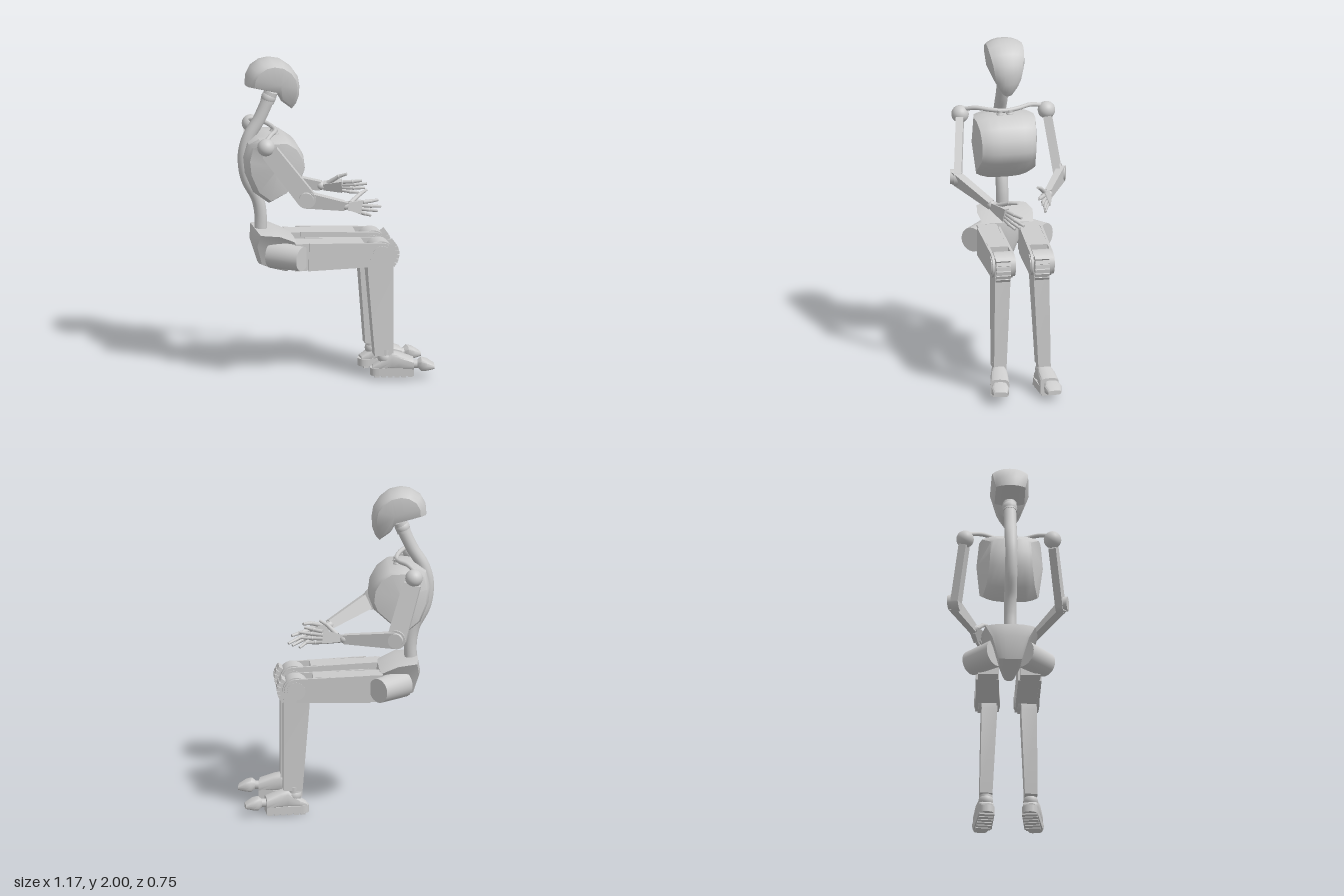
import * as THREE from 'three';
import { toCreasedNormals } from 'three/addons/utils/BufferGeometryUtils.js';

const material = new THREE.MeshStandardMaterial({ color: 0xcccccc });
const V = (x, y, z) => new THREE.Vector3(x, y, z);

function add(parent, geometry, name) {
  const mesh = new THREE.Mesh(geometry, material);
  mesh.name = name;
  parent.add(mesh);
  return mesh;
}

// Closed skin over rings of points; end caps fan to a centre (optionally pushed out in z)
function loft(rings, crease = 0.6, domeZ = 0) {
  const tris = [], n = rings[0].length;
  for (let i = 0; i + 1 < rings.length; i++) {
    for (let j = 0; j < n; j++) {
      const k = (j + 1) % n, a = rings[i], b = rings[i + 1];
      tris.push([a[j], b[j], b[k]], [a[j], b[k], a[k]]);
    }
  }
  [rings[0], rings[rings.length - 1]].forEach((ring, end) => {
    const c = ring.reduce((s, p) => s.add(p), V(0, 0, 0)).divideScalar(n);
    if (domeZ) c.z = end ? domeZ : -domeZ;
    for (let j = 0; j < n; j++) {
      const p = ring[j], q = ring[(j + 1) % n];
      tris.push(end ? [c, q, p] : [c, p, q]);
    }
  });
  // Turn the faces outwards
  const volume = tris.reduce((s, [a, b, c]) => s + a.dot(b.clone().cross(c)), 0);
  if (volume < 0) tris.forEach(t => t.reverse());
  const g = new THREE.BufferGeometry().setFromPoints(tris.flat());
  return toCreasedNormals(g, crease);
}

// Side profile [x, y, halfWidth] spread over z, shrinking towards its sides
function pillow(profile, shrink, power, domeZ) {
  const cx = profile.reduce((s, p) => s + p[0], 0) / profile.length;
  const cy = profile.reduce((s, p) => s + p[1], 0) / profile.length;
  const rings = [-1, -0.85, -0.6, -0.3, 0, 0.3, 0.6, 0.85, 1].map(t => {
    const s = 1 - shrink * Math.abs(t) ** power;
    return profile.map(([x, y, w]) => V(cx + (x - cx) * s, cy + (y - cy) * s, w * t));
  });
  return loft(rings, 0.6, domeZ);
}

// Tapered bar from a to b, with widths w and thicknesses t along the hinted direction
function bar(a, b, hint, w0, w1, t0, t1 = t0) {
  const dir = b.clone().sub(a).normalize();
  const n = hint.clone().addScaledVector(dir, -hint.dot(dir)).normalize();
  const side = dir.clone().cross(n);
  const ring = (p, w, t) => [[1, 1], [1, -1], [-1, -1], [-1, 1]].map(([i, j]) =>
    p.clone().addScaledVector(side, i * w / 2).addScaledVector(n, j * t / 2));
  return loft([ring(a, w0, t0), ring(b, w1, t1)]);
}

// Round rod between two points
function rod(a, b, r0, r1 = r0, sides = 20) {
  const d = b.clone().sub(a);
  const g = new THREE.CylinderGeometry(r1, r0, d.length(), sides);
  g.applyQuaternion(new THREE.Quaternion().setFromUnitVectors(V(0, 1, 0), d.normalize()));
  return g.translate((a.x + b.x) / 2, (a.y + b.y) / 2, (a.z + b.z) / 2);
}

const ball = (p, r) => new THREE.SphereGeometry(r, 24, 16).translate(p.x, p.y, p.z);
const tube = (pts, r) => new THREE.TubeGeometry(new THREE.CatmullRomCurve3(pts), 40, r, 16);
const disc = (p, n, r, t) => rod(p.clone().addScaledVector(n, -t / 2), p.clone().addScaledVector(n, t / 2), r, r, 28);

function buildBody(body) {
  add(body, pillow([[-.54, 1.84, .088], [-.535, 1.9, .1], [-.505, 1.955, .106], [-.45, 1.99, .108], [-.39, 2, .108],
    [-.32, 1.985, .108], [-.26, 1.94, .102], [-.22, 1.88, .092], [-.21, 1.82, .085], [-.213, 1.76, .075],
    [-.23, 1.71, .06], [-.255, 1.677, .045], [-.32, 1.73, .07], [-.35, 1.79, .09]], .2, 2.5, .117), 'head');
  add(body, ball(V(-.395, 1.755, 0), .045), 'neckJoint');
  add(body, rod(V(-.405, 1.725, 0), V(-.38, 1.79, 0), .042), 'neckCollar');
  add(body, tube([V(-.395, 1.75, 0), V(-.455, 1.62, 0), V(-.52, 1.51, 0), V(-.547, 1.4, 0), V(-.53, 1.26, 0),
    V(-.465, 1.13, 0), V(-.445, 1.03, 0), V(-.445, .92, 0)], .038), 'spine');
  add(body, pillow([[-.535, 1.49, .12], [-.48, 1.53, .17], [-.4, 1.535, .185], [-.31, 1.53, .18], [-.24, 1.48, .17],
    [-.2, 1.41, .165], [-.19, 1.33, .165], [-.215, 1.265, .165], [-.31, 1.18, .178], [-.42, 1.12, .165],
    [-.5, 1.18, .145], [-.55, 1.3, .13], [-.56, 1.4, .125]], .13, 3.5, .2), 'chest');
  add(body, pillow([[-.485, .945, .15], [-.36, .935, .17], [-.25, .885, .155], [-.235, .8, .07], [-.25, .69, .035],
    [-.285, .66, .03], [-.38, .69, .06], [-.46, .725, .07], [-.5, .86, .11]], .08, 3), 'pelvis');
  // Bowed collar bar carried on two posts
  add(body, tube([V(-.46, 1.545, -.25), V(-.42, 1.565, -.17), V(-.375, 1.56, -.08), V(-.36, 1.555, 0),
    V(-.375, 1.56, .08), V(-.42, 1.565, .17), V(-.465, 1.545, .24)], .013), 'collarBar');
  for (const z of [-.03, .03]) {
    add(body, rod(V(-.36, 1.5, z), V(-.36, 1.56, z), .017), 'collarPost');
    add(body, ball(V(-.36, 1.53, z), .022), 'collarPostKnob');
  }
}

function buildArm(arm, { shoulder, elbow, wrist, tips, thumb, axis }) {
  add(arm, ball(shoulder, .053), 'shoulderBall');
  add(arm, bar(shoulder.clone().lerp(elbow, .1), elbow, axis, .105, .115, .045), 'upperArm');
  add(arm, disc(elbow, axis, .0575, .045), 'upperArmEnd');
  // Forearm hangs on the outside of the elbow
  const hinge = elbow.clone().addScaledVector(axis, .022);
  add(arm, disc(hinge, axis, .045, .05), 'elbowPin');
  add(arm, bar(hinge, wrist, axis, .1, .055, .045, .04), 'forearm');
  // Hand: wrist ball, palm, jointed fingers and thumb
  const mid = tips.reduce((p, q) => p.add(q), V(0, 0, 0)).divideScalar(tips.length);
  const spread = tips[0].clone().sub(tips[3]).normalize();
  const normal = mid.clone().sub(wrist).cross(spread).normalize();
  const palmEnd = wrist.clone().lerp(mid, .5);
  add(arm, ball(wrist, .027), 'wristBall');
  add(arm, bar(wrist.clone().lerp(mid, .06), palmEnd, normal, .045, .085, .038, .032), 'palm');
  tips.forEach((tip, i) => {
    const base = palmEnd.clone().addScaledVector(spread, (1.5 - i) * .021);
    const joint = base.clone().lerp(tip, .5).addScaledVector(normal, .004);
    add(arm, rod(base, joint, .0125, .011, 10), 'finger');
    add(arm, ball(joint, .0125), 'fingerJoint');
    add(arm, rod(joint, tip, .011, .008, 10), 'fingertip');
  });
  const root = wrist.clone().lerp(mid, .15).addScaledVector(spread, .02);
  const joint = root.clone().lerp(thumb, .55).addScaledVector(spread, .012);
  add(arm, rod(root, joint, .015, .012, 10), 'thumb');
  add(arm, ball(joint, .013), 'thumbJoint');
  add(arm, rod(joint, thumb, .012, .008, 10), 'thumbTip');
}

function buildFoot(foot) {
  const ring = (x, y0, y1, w) => Array.from({ length: 16 }, (_, i) => {
    const a = i / 16 * Math.PI * 2, sq = v => Math.sign(v) * Math.abs(v) ** .6;
    return V(x, (y0 + y1) / 2 + sq(Math.sin(a)) * (y1 - y0) / 2, sq(Math.cos(a)) * w);
  });
  // Sole with rounded heel, and treads below it
  const outline = new THREE.Shape().moveTo(.17, -.055).lineTo(.17, .055).lineTo(-.04, .048);
  outline.quadraticCurveTo(-.09, .045, -.09, 0).quadraticCurveTo(-.09, -.045, -.04, -.048);
  const sole = new THREE.ExtrudeGeometry(outline, { depth: .045, bevelEnabled: false });
  add(foot, sole.rotateX(-Math.PI / 2).translate(0, .01, 0), 'sole');
  for (let i = 0; i < 6; i++) add(foot, new THREE.BoxGeometry(.028, .015, .09).translate(-.05 + i * .04, .0075, 0), 'tread');
  add(foot, loft([ring(-.075, .04, .07, .035), ring(-.03, .04, .1, .045), ring(.04, .04, .155, .045),
    ring(.08, .04, .145, .053), ring(.17, .035, .11, .058)]), 'footBody');
  add(foot, ball(V(0, .115, 0), .045), 'ankleBall');
  add(foot, rod(V(0, .12, 0), V(0, .17, 0), .04), 'ankleCollar');
  add(foot, rod(V(.16, .07, 0), V(.22, .07, 0), .026), 'toeJoint');
  add(foot, loft([ring(.195, .05, .095, .027), ring(.217, .03, .11, .046), ring(.25, .033, .1, .054),
    ring(.295, .043, .07, .04)], .8), 'toe');
}

function buildLeg(leg, { hipZ, kneeZ, shinZ, ankleZ, footX, footY, yaw }) {
  const s = Math.sign(hipZ), Z = V(0, 0, 1);
  // Angled hip drum
  const hipIn = V(-.39, .795, s * .08), hipOut = V(-.235, .795, s * .225);
  add(leg, rod(hipIn, hipOut, .084, .074, 32), 'hipDrum');
  add(leg, bar(V(-.27, .795, hipZ), V(.15, .79, kneeZ), Z, .17, .15, .12), 'thigh');
  const knee = V(.255, .785, kneeZ);
  for (const side of [-1, 1]) {
    const off = side * .063;
    add(leg, bar(V(-.19, .795, hipZ + off), knee.clone().setZ(kneeZ + off), Z, .172, .145, .015), 'thighPlate');
    add(leg, disc(knee.clone().setZ(kneeZ + off), Z, .0725, .015), 'kneePlate');
    add(leg, disc(knee.clone().setZ(kneeZ + off * 1.08), Z, .055, .014), 'kneePin');
  }
  add(leg, disc(knee, Z, .08, .11), 'kneeDrum');
  // Ribbed kneecap
  for (let i = 0; i < 6; i++) {
    const a = .62 - i * .26;
    const rib = add(leg, new THREE.BoxGeometry(.045, .023, .088), 'kneeRib');
    rib.position.set(.255 + Math.cos(a) * .09, .78 + Math.sin(a) * .09, shinZ);
    rib.rotation.z = a;
  }
  // Shin tapering to the ankle
  const ring = (x0, x1, y, z, w) => [V(x0, y, z - w), V(x1, y, z - w), V(x1, y, z + w), V(x0, y, z + w)];
  add(leg, loft([ring(.185, .325, .77, shinZ, .048), ring(.172, .33, .69, shinZ, .047),
    ring(.215, .33, .15, ankleZ, .038)], .3), 'shin');
  const foot = new THREE.Group();
  foot.name = 'foot';
  buildFoot(foot);
  foot.position.set(footX, footY, ankleZ);
  foot.rotation.y = yaw;
  leg.add(foot);
}

export function createModel() {
  const model = new THREE.Group();
  model.name = 'seatedRobot';
  const part = (name, build, spec) => {
    const group = new THREE.Group();
    group.name = name;
    build(group, spec);
    model.add(group);
  };
  part('body', buildBody);
  part('armNear', buildArm, {
    shoulder: V(-.466, 1.517, .253), elbow: V(-.23, 1.2, .312), wrist: V(.035, 1.095, .16), axis: V(-.24, 0, .97),
    tips: [V(.27, 1.075, .02), V(.29, 1.03, .01), V(.265, 1.01, .03), V(.22, .99, .05)], thumb: V(.2, 1.145, .03),
  });
  part('armFar', buildArm, {
    shoulder: V(-.447, 1.517, -.272), elbow: V(-.34, 1.15, -.32), wrist: V(-.03, 1.12, -.2), axis: V(.28, 0, -.96),
    tips: [V(.2, 1.165, -.1), V(.235, 1.14, -.115), V(.225, 1.11, -.13), V(.19, 1.08, -.14)], thumb: V(.11, 1.21, -.11),
  });
  part('legNear', buildLeg, { hipZ: .132, kneeZ: .137, shinZ: .148, ankleZ: .163, footX: .285, footY: .015, yaw: -.16 });
  part('legFar', buildLeg, { hipZ: -.123, kneeZ: -.1, shinZ: -.09, ankleZ: -.108, footX: .265, footY: 0, yaw: .06 });
  return model;
}
